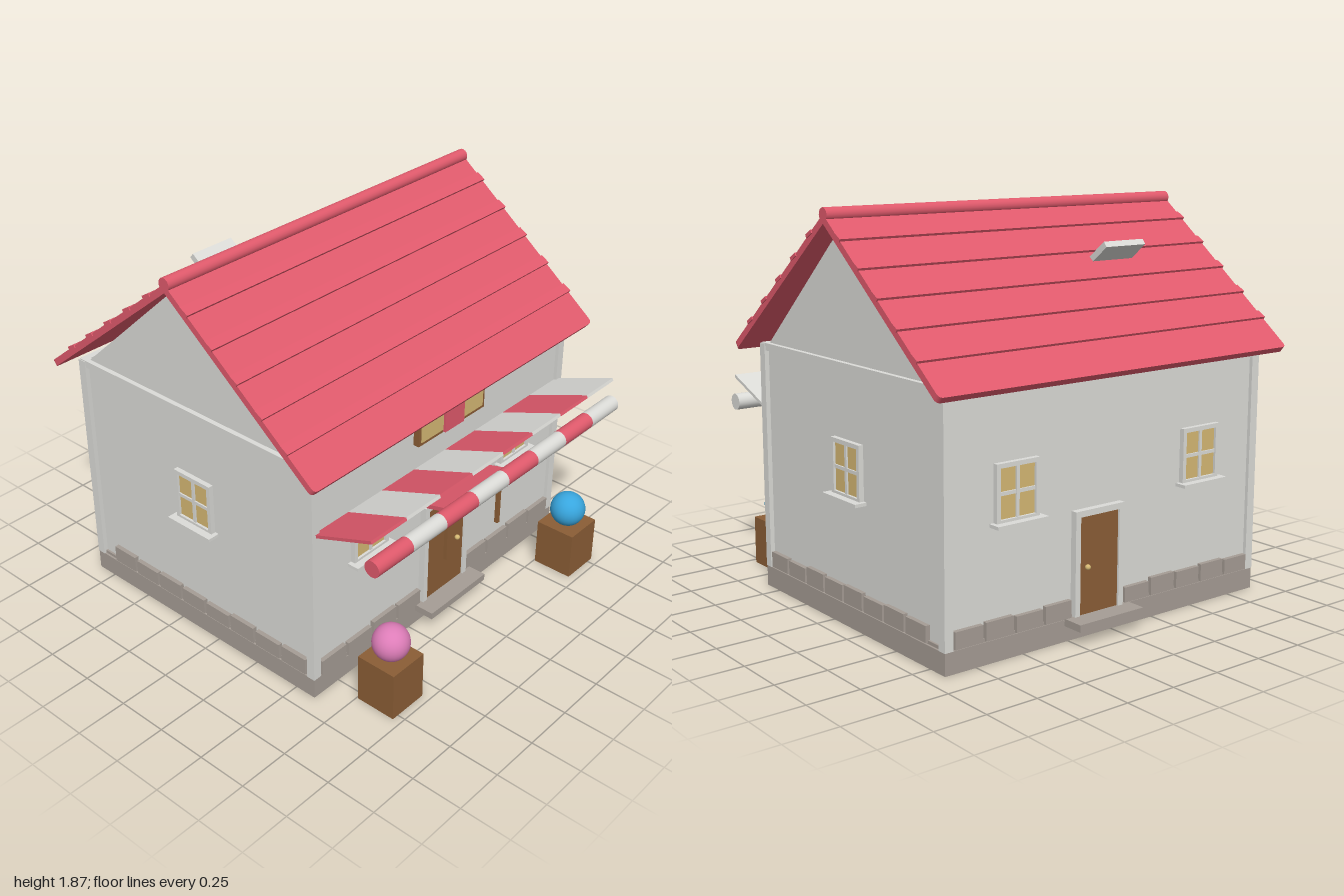
import * as THREE from 'three';

const mat = (name, color) => {
  const m = new THREE.MeshStandardMaterial({ color });
  m.name = name;
  return m;
};

export function createModel() {
  const red = mat('red', 0xe05a6c);
  const white = mat('off white', 0xdcdcd8);
  const stone = mat('stone', 0xa69d95);
  const wood = mat('wood', 0x8b5e36);
  const tan = mat('warm glass', 0xd6b974);
  const blue = mat('blue', 0x38a6de);
  const pink = mat('pink', 0xdd7db8);

  const house = new THREE.Group();
  house.name = 'house';
  const MID = -0.12; // z of the house centre line

  const add = (parent, name, geo, material, x = 0, y = 0, z = 0) => {
    const m = new THREE.Mesh(geo, material);
    m.name = name;
    m.position.set(x, y, z);
    parent.add(m);
    return m;
  };
  // box given by its limits
  const box = (parent, name, material, x0, x1, y0, y1, z0, z1) =>
    add(parent, name, new THREE.BoxGeometry(x1 - x0, y1 - y0, z1 - z0), material,
      (x0 + x1) / 2, (y0 + y1) / 2, (z0 + z1) / 2);
  const group = (name, x, y, z, ry = 0) => {
    const g = new THREE.Group();
    g.name = name;
    g.position.set(x, y, z);
    g.rotation.y = ry;
    house.add(g);
    return g;
  };

  // Base and walls
  box(house, 'foundation', stone, -0.91, 0.91, 0, 0.1, -0.855, 0.61);
  box(house, 'foundationLedge', stone, -0.9, 0.9, 0.1, 0.115, -0.85, 0.605);
  box(house, 'walls', white, -0.89, 0.89, 0.1, 1.18, -0.84, 0.595);
  for (const x of [-0.89, 0.89]) {
    for (const z of [-0.835, 0.59])
      box(house, 'cornerPost', white, x - 0.022, x + 0.022, 0.1, 1.19, z - 0.022, z + 0.022);
    box(house, 'sideBeam', white, x - 0.018, x + 0.018, 1.16, 1.195, -0.85, 0.605);
  }
  for (const z of [-0.835, 0.59])
    box(house, 'topBeam', white, -0.9, 0.9, 1.16, 1.195, z - 0.018, z + 0.018);

  // Gable block under the roof
  const tri = new THREE.Shape([
    new THREE.Vector2(-0.69, 1.19), new THREE.Vector2(0.69, 1.19), new THREE.Vector2(0, 1.81)]);
  const gableGeo = new THREE.ExtrudeGeometry(tri, { depth: 1.77, bevelEnabled: false });
  gableGeo.translate(0, 0, -0.885).rotateY(Math.PI / 2);
  add(house, 'gables', gableGeo, white, 0, 0, MID);

  // Roof slopes with lapped shingle rows
  const pitch = Math.atan2(0.65, 0.82);
  const slab = new THREE.Shape();
  const c = 0.025, L = 1.05;
  slab.moveTo(-0.995, 0).lineTo(0.995, 0).lineTo(0.995, -L + c)
    .quadraticCurveTo(0.995, -L, 0.995 - c, -L).lineTo(-0.995 + c, -L)
    .quadraticCurveTo(-0.995, -L, -0.995, -L + c);
  const slabGeo = new THREE.ExtrudeGeometry(slab, { depth: 0.032, bevelEnabled: false });
  slabGeo.rotateX(-Math.PI / 2).translate(0, -0.026, 0);
  for (const turn of [0, Math.PI]) {
    const side = group('roofSide', 0, 1.83, MID, turn);
    const slope = new THREE.Group();
    slope.name = 'roofSlope';
    slope.rotation.x = pitch;
    side.add(slope);
    add(slope, 'roofPanel', slabGeo, red);
    for (let i = 0; i < 5; i++) {
      const row = add(slope, 'shingleEdge', new THREE.BoxGeometry(2, 0.016, 0.05), red,
        0, 0.006, 0.14 + i * 0.175);
      row.rotation.x = -0.14;
    }
  }
  const ridge = add(house, 'ridgeCap', new THREE.CylinderGeometry(0.031, 0.031, 1.99, 20), red, 0, 1.835, MID);
  ridge.rotation.z = Math.PI / 2;

  // Tilted hatch on the back slope
  const hatch = add(house, 'roofHatch', new THREE.BoxGeometry(0.24, 0.03, 0.16), white, -0.36, 1.62, -0.455);
  hatch.rotation.x = pitch;

  // Windows: local +z points out of the wall
  const makeWindow = (x, y, z, ry) => {
    const g = group('window', x, y, z, ry);
    box(g, 'windowGlass', tan, -0.095, 0.095, -0.115, 0.115, -0.01, 0.012);
    for (const s of [-1, 1]) {
      box(g, 'frameSide', white, s * 0.104 - 0.01, s * 0.104 + 0.01, -0.13, 0.13, -0.01, 0.024);
      box(g, 'frameRail', white, -0.095, 0.095, s * 0.12 - 0.01, s * 0.12 + 0.01, -0.01, 0.024);
    }
    box(g, 'mullion', white, -0.008, 0.008, -0.112, 0.112, -0.01, 0.02);
    box(g, 'crossbar', white, -0.094, 0.094, -0.008, 0.008, -0.01, 0.019);
    box(g, 'sill', white, -0.135, 0.135, -0.137, -0.122, -0.01, 0.06);
  };
  for (const x of [-0.535, 0.535]) {
    makeWindow(x, 0.722, 0.595, 0);
    makeWindow(x, 0.722, -0.84, Math.PI);
  }
  makeWindow(0.89, 0.722, -0.122, Math.PI / 2);
  makeWindow(-0.89, 0.722, -0.122, -Math.PI / 2);

  // Doors with frame, knob and step
  const makeDoor = (name, x, z, ry, w, top, stepW, knobX, knobY) => {
    const g = group(name, x, 0, z, ry);
    box(g, 'doorPanel', wood, -w, w, 0.1, top, -0.01, 0.02);
    for (const s of [-1, 1])
      box(g, 'doorJamb', white, s * (w + 0.014) - 0.014, s * (w + 0.014) + 0.014, 0.1, top + 0.028, -0.01, 0.03);
    box(g, 'doorLintel', white, -w, w, top, top + 0.028, -0.01, 0.03);
    add(g, 'doorKnob', new THREE.SphereGeometry(0.013, 14, 10), tan, knobX, knobY, 0.03);
    box(g, 'doorStep', stone, -stepW, stepW, 0.072, 0.105, 0, 0.115);
  };
  makeDoor('frontDoor', 0, 0.597, 0, 0.137, 0.612, 0.205, 0.083, 0.352);
  makeDoor('backDoor', 0.085, -0.842, Math.PI, 0.112, 0.55, 0.185, -0.07, 0.32);

  // Foundation stones along each wall
  const tops = [0.18, 0.175, 0.188, 0.182, 0.187, 0.178, 0.185];
  const stones = (name, x, z, ry, from, to, count, offset) => {
    const g = group(name, x, 0, z, ry);
    const step = (to - from) / count;
    for (let i = 0; i < count; i++) {
      const a = from + i * step;
      box(g, 'stone', stone, a + 0.008, a + step - 0.008, 0.105, tops[(i + offset) % 7], -0.01, 0.022);
    }
  };
  stones('frontStonesRight', 0, 0.595, 0, -0.87, -0.17, 4.5 | 0, 0);
  stones('frontStonesLeft', 0, 0.595, 0, 0.17, 0.87, 4.5 | 0, 2);
  stones('backStonesRight', 0, -0.84, Math.PI, 0.07, 0.87, 5, 1);
  stones('backStonesLeft', 0, -0.84, Math.PI, -0.87, -0.23, 4, 3);
  stones('leftStones', 0.89, MID, Math.PI / 2, -0.685, 0.61, 8, 0);
  stones('rightStones', -0.89, MID, -Math.PI / 2, -0.61, 0.685, 8, 4);

  // Striped awning and its striped roller
  const awning = group('awning', 0, 0.925, 0.757);
  const stripeW = 1.78 / 8;
  for (let i = 0; i < 8; i++) {
    const m = i % 2 ? white : red;
    const x = -0.89 + (i + 0.5) * stripeW;
    const cloth = add(awning, 'awningStripe', new THREE.BoxGeometry(stripeW, 0.015, 0.34), m, x, 0, 0);
    cloth.rotation.x = -0.36;
    const roll = add(awning, 'rollerStripe', new THREE.CylinderGeometry(0.04, 0.04, stripeW, 24), m, x, -0.07, 0.163);
    roll.rotation.z = Math.PI / 2;
  }

  // Canopy over the front door
  const canopy = add(house, 'doorCanopy', new THREE.BoxGeometry(0.445, 0.02, 0.21), red, 0, 0.715, 0.7);
  canopy.rotation.x = -0.25;
  for (const x of [-0.194, 0.194])
    box(house, 'canopyPost', wood, x - 0.009, x + 0.009, 0.45, 0.72, 0.763, 0.781);

  // Sign board with a small bag on it
  const sign = group('sign', 0, 1.095, 0.6);
  box(sign, 'signBoard', wood, -0.238, 0.238, -0.085, 0.085, 0, 0.03);
  box(sign, 'signPanel', tan, -0.222, 0.222, -0.069, 0.072, 0.028, 0.034);
  box(sign, 'bag', red, -0.068, 0.068, -0.079, 0.036, 0.02, 0.046);
  add(sign, 'bagHandle', new THREE.TorusGeometry(0.035, 0.006, 8, 20, Math.PI), stone, 0, 0.036, 0.036);

  // Planters with round shrubs
  for (const s of [-1, 1]) {
    const p = group('planter', s * 0.682, 0, 0.858);
    box(p, 'planterBox', wood, -0.102, 0.102, 0, 0.24, -0.102, 0.102);
    add(p, 'roundShrub', new THREE.SphereGeometry(0.087, 28, 20), s < 0 ? pink : blue, 0, 0.315, 0);
  }

  return house;
}
